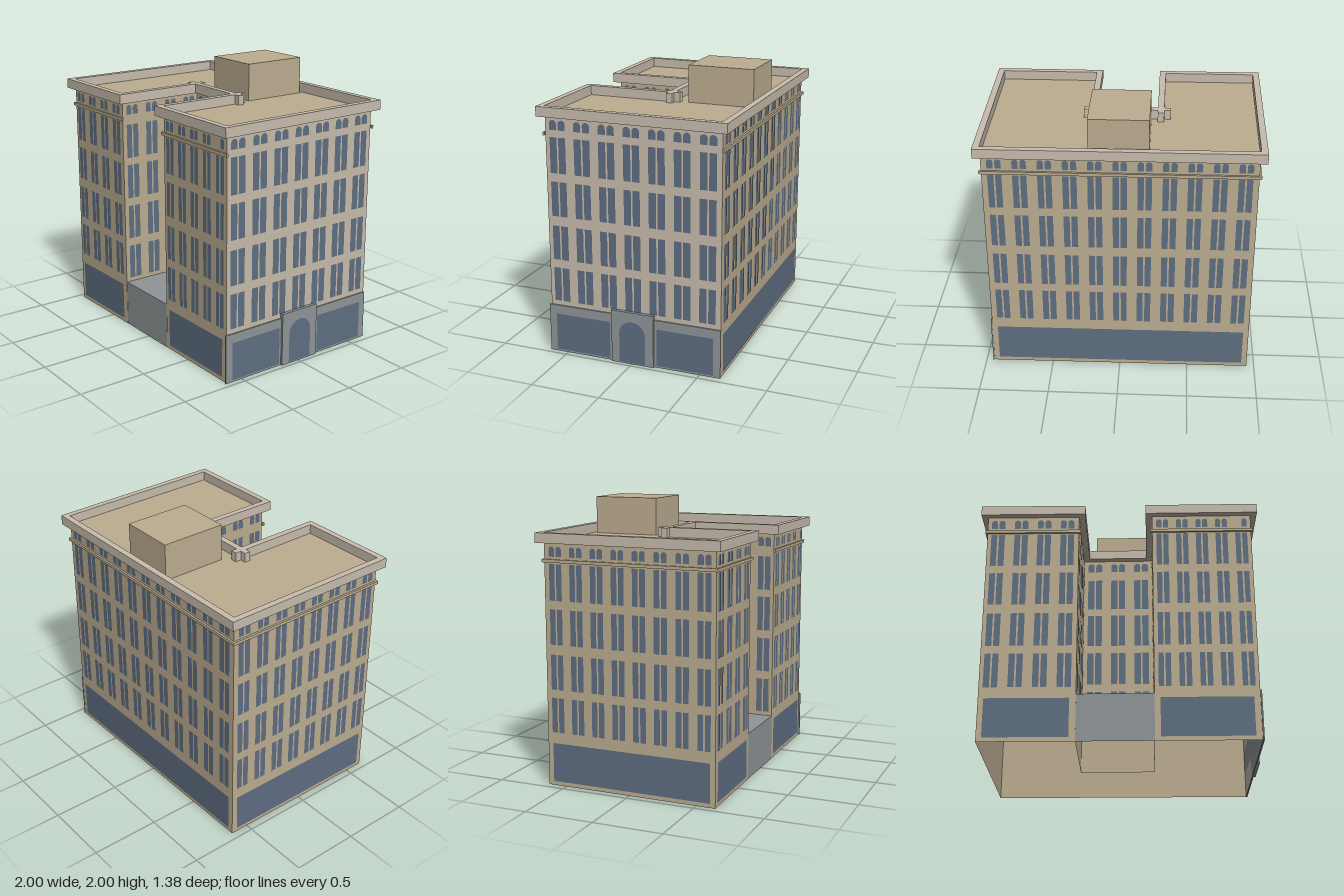
import * as THREE from 'three';

const mat = (name, color, side = THREE.FrontSide) => {
  const m = new THREE.MeshStandardMaterial({ color, side });
  m.name = name;
  return m;
};

// Rectangular or round-topped pane outline
function pane(u0, u1, y0, y1, arched = false) {
  const s = new THREE.Shape();
  const r = (u1 - u0) / 2;
  s.moveTo(u0, y0);
  s.lineTo(u1, y0);
  if (arched) {
    s.lineTo(u1, y1 - r);
    s.absarc((u0 + u1) / 2, y1 - r, r, 0, Math.PI, false);
  } else {
    s.lineTo(u1, y1);
    s.lineTo(u0, y1);
  }
  s.closePath();
  return s;
}

export function createModel() {
  const tan = mat('tan brick', 0xbcad90, THREE.DoubleSide);
  const pale = mat('pale facade', 0xc9bcac, THREE.DoubleSide);
  const trim = mat('cornice stone', 0xc8bdae);
  const gray = mat('gray stone', 0x8f9698, THREE.DoubleSide);
  const glass = mat('window glass', 0x5f6e82);

  const model = new THREE.Group();
  model.name = 'building';

  const add = (parent, name, geo, material) => {
    const m = new THREE.Mesh(geo, material);
    m.name = name;
    parent.add(m);
    return m;
  };
  // Box given by its extents
  const box = (parent, name, material, [x0, x1], [y0, y1], [z0, z1]) => {
    const m = add(parent, name, new THREE.BoxGeometry(x1 - x0, y1 - y0, z1 - z0), material);
    m.position.set((x0 + x1) / 2, (y0 + y1) / 2, (z0 + z1) / 2);
    return m;
  };

  const WALL = 1.73, TOP = 1.8, FLOOR = 0.34;
  const ROWS = [[0.39, 0.64], [0.7, 0.95], [1.02, 1.27], [1.33, 1.585]];
  const COURT_ROWS = [[0.37, 0.625], [0.685, 0.94], [1.0, 1.255], [1.31, 1.56]];

  // U-shaped plan as [x, z], each wall running left to right seen from outside
  const plan = [
    [-0.953, 0.638], [-0.29, 0.632], [-0.29, -0.03], [0.24, -0.03],
    [0.24, 0.628], [0.953, 0.625], [0.94, -0.65], [-0.945, -0.635],
  ];
  const facades = [
    { name: 'frontLeftWall', first: 0.078, pitch: 0.167, n: 4, w: 0.043, shop: [0.038, 0.618], belt: true },
    { name: 'courtyardWallA', first: 0.08, pitch: 0.168, n: 4, w: 0.043, rows: COURT_ROWS },
    { name: 'courtyardBackWall', first: 0.087, pitch: 0.178, n: 3, w: 0.048, rows: COURT_ROWS },
    { name: 'courtyardWallB', first: 0.08, pitch: 0.168, n: 4, w: 0.043, rows: COURT_ROWS },
    { name: 'frontRightWall', first: 0.073, pitch: 0.142, n: 5, w: 0.037, shop: [0.04, 0.67], belt: true, skipArch: 8 },
    { name: 'entranceWall', first: 0.09, pitch: 0.1815, n: 7, w: 0.053, material: pale },
    { name: 'backWall', first: 0.09, pitch: 0.1705, n: 11, w: 0.043, shop: [0.04, 1.845], belt: true },
    { name: 'sideWall', first: 0.085, pitch: 0.158, n: 8, w: 0.042, shop: [0.04, 1.235], belt: true },
  ];

  facades.forEach((f, i) => {
    const [ax, az] = plan[i];
    const [bx, bz] = plan[(i + 1) % plan.length];
    const len = Math.hypot(bx - ax, bz - az);
    // Local frame: x along the wall, y up, z outward
    const g = new THREE.Group();
    g.name = f.name;
    g.position.set(ax, 0, az);
    g.rotation.y = Math.atan2(az - bz, bx - ax);
    model.add(g);

    const wall = new THREE.PlaneGeometry(len, WALL).translate(len / 2, WALL / 2, 0);
    add(g, 'wall', wall, f.material || tan);

    // Paired windows, with arched ones under the cornice
    const shapes = [];
    for (let k = 0; k < f.n * 2; k++) {
      const c = f.first + Math.floor(k / 2) * f.pitch + (k % 2 ? 1 : -1) * (f.w / 2 + 0.006);
      const u0 = c - f.w / 2, u1 = c + f.w / 2;
      for (const [y0, y1] of f.rows || ROWS) shapes.push(pane(u0, u1, y0, y1));
      if (k !== f.skipArch) shapes.push(pane(u0, u1, 1.635, 1.705, true));
    }
    if (f.shop) shapes.push(pane(f.shop[0], f.shop[1], 0.03, 0.31));
    add(g, 'windows', new THREE.ShapeGeometry(shapes, 6), glass).position.z = 0.003;

    // Cornice and thin belt course
    box(g, 'cornice', trim, [-0.045, len + 0.045], [WALL, TOP], [0, 0.046]);
    if (f.belt) box(g, 'beltCourse', tan, [-0.015, len + 0.015], [1.595, 1.617], [0, 0.015]);

    // Stone ground floor with the arched entrance
    if (f.name === 'entranceWall') {
      box(g, 'stoneBase', gray, [-0.012, len + 0.002], [0, 0.355], [0, 0.01]);
      box(g, 'entranceSurround', gray, [0.475, 0.79], [0, 0.39], [0, 0.025]);
      const shops = [pane(0.042, 0.457, 0.015, 0.29), pane(0.81, 1.225, 0.015, 0.29)];
      add(g, 'shopWindows', new THREE.ShapeGeometry(shops), glass).position.z = 0.013;
      const door = new THREE.ShapeGeometry(pane(0.535, 0.73, 0.01, 0.32, true), 12);
      add(g, 'entranceDoor', door, glass).position.z = 0.028;
    }
  });

  // Flat roof and rooftop housing
  const outline = new THREE.Shape(plan.map(([x, z]) => new THREE.Vector2(x, -z)));
  const roof = add(model, 'roof', new THREE.ShapeGeometry(outline).rotateX(-Math.PI / 2), tan);
  roof.position.y = WALL + 0.001;
  box(model, 'rooftopHousing', tan, [-0.2, 0.215], [WALL, 2], [-0.615, -0.13]);

  // Raised courtyard deck and its front panel
  const deck = new THREE.PlaneGeometry(0.53, 0.66).rotateX(-Math.PI / 2);
  add(model, 'courtyardDeck', deck, gray).position.set(-0.025, FLOOR, 0.3);
  add(model, 'courtyardFront', new THREE.PlaneGeometry(0.53, FLOOR), gray).position.set(-0.025, FLOOR / 2, 0.63);

  return model;
}
